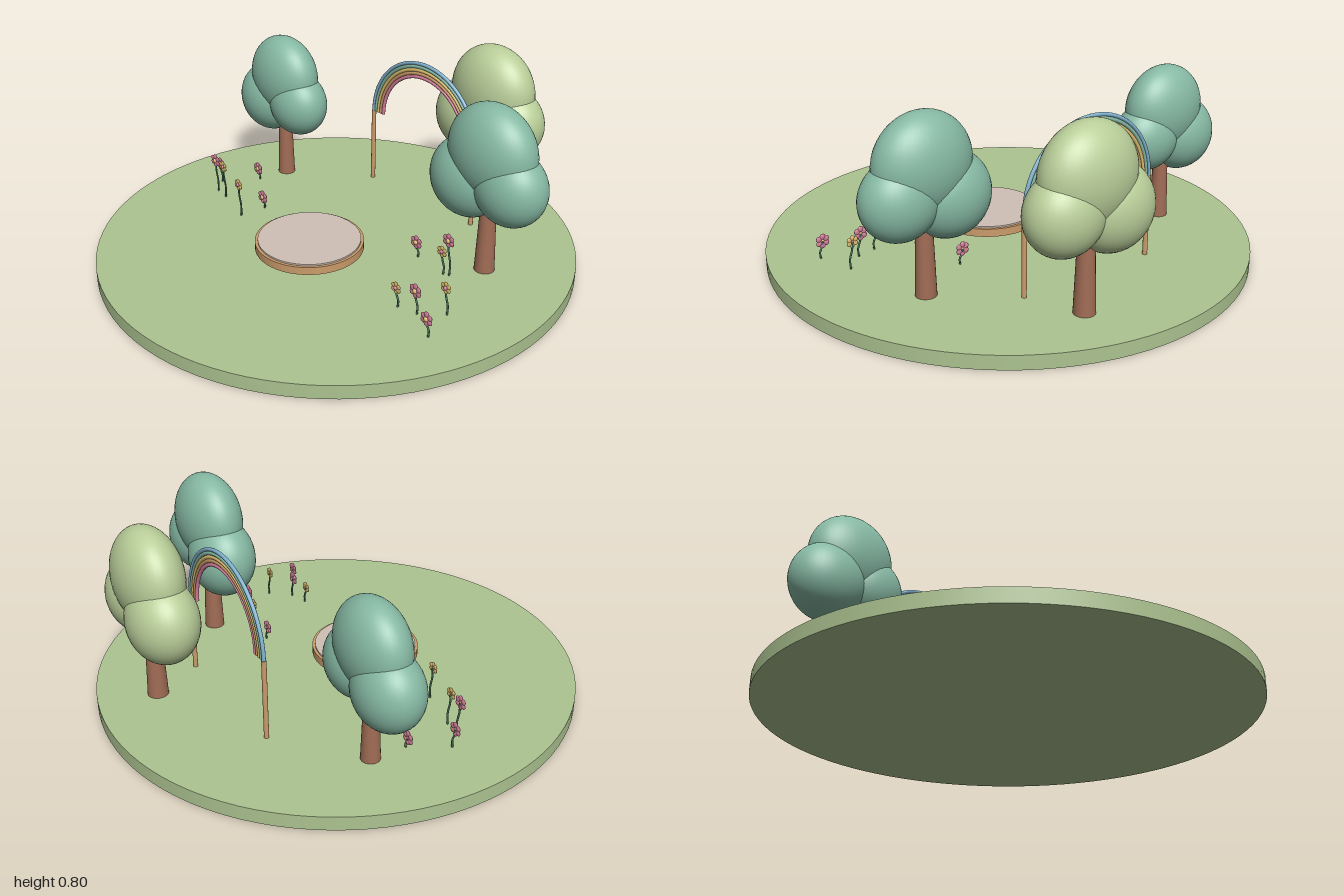
import * as THREE from 'three';

const mat = (name, color) => {
  const m = new THREE.MeshStandardMaterial({ color });
  m.name = name;
  return m;
};

export function createModel() {
  const M = {
    grass: mat('grass green', 0xadc491),
    teal: mat('teal leaf', 0x86b9a4),
    lime: mat('pale leaf', 0xb9ce99),
    bark: mat('bark brown', 0xa06c55),
    wood: mat('light wood', 0xcb9c6b),
    pad: mat('pale stone', 0xcfc0b6),
    blue: mat('sky blue', 0x82b3d0),
    yellow: mat('soft yellow', 0xe0c070),
    pink: mat('rose pink', 0xd9819f),
    stem: mat('stem green', 0x4c7a5e),
  };
  const root = new THREE.Group();
  root.name = 'garden';
  const GROUND = 0.058;

  const add = (parent, name, geo, material, x = 0, y = 0, z = 0) => {
    const mesh = new THREE.Mesh(geo, material);
    mesh.name = name;
    mesh.position.set(x, y, z);
    parent.add(mesh);
    return mesh;
  };
  const group = (name, x = 0, y = 0, z = 0) => {
    const g = new THREE.Group();
    g.name = name;
    g.position.set(x, y, z);
    root.add(g);
    return g;
  };

  // Round lawn
  add(root, 'lawn', new THREE.CylinderGeometry(1, 1, GROUND, 96), M.grass, 0, GROUND / 2, 0);

  // Low round platform: wooden rim with a pale top
  const platform = group('platform', 0, 0, 0.148);
  add(platform, 'platformRim', new THREE.CylinderGeometry(0.226, 0.226, 0.034, 64), M.wood, 0, 0.093, 0);
  add(platform, 'platformTop', new THREE.CylinderGeometry(0.214, 0.214, 0.014, 64), M.pad, 0, 0.11, 0);

  // Rainbow arch on two posts
  const arch = group('rainbowArch', 0, 0, -0.51);
  const springY = 0.4;
  for (const s of [-1, 1]) {
    add(arch, 'archPost', new THREE.CylinderGeometry(0.01, 0.01, springY - GROUND, 16), M.wood,
      s * 0.305, (springY + GROUND) / 2, 0);
  }
  [M.blue, M.teal, M.yellow, M.wood, M.pink].forEach((material, i) => {
    const r = 0.305 - i * 0.0152;
    add(arch, 'rainbowBand', new THREE.TorusGeometry(r, 0.008, 10, 64, Math.PI), material, 0, springY, 0);
    for (const s of [-1, 1]) {
      add(arch, 'bandEnd', new THREE.CircleGeometry(0.008, 10).rotateX(Math.PI / 2), material, s * r, springY, 0);
    }
  });

  // Trees: tapered trunk and three flattened leaf balls [x, y, radius, depth]
  const crown = [
    [0, 0.523, 0.2, 0.13],
    [-0.108, 0.383, 0.17, 0.138],
    [0.1, 0.407, 0.157, 0.128],
  ];
  const tree = (x, z, scale, leaf) => {
    const g = group('tree', x, GROUND, z);
    g.scale.setScalar(scale);
    add(g, 'trunk', new THREE.CylinderGeometry(0.028, 0.042, 0.4, 24), M.bark, 0, 0.2, 0);
    for (const [cx, cy, r, depth] of crown) {
      add(g, 'leafBall', new THREE.SphereGeometry(r, 40, 28), leaf, cx, cy, 0).scale.z = depth / r;
    }
  };
  tree(-0.627, -0.25, 0.93, M.teal);
  tree(0.585, -0.277, 1, M.teal);
  tree(0.2, -0.73, 1.02, M.lime);

  // Flowers: bent stem, six flat petals and a centre, facing forward
  const flower = (x, y, z, petal, centre, size) => {
    const g = group('flower', x, 0, z);
    const h = y - GROUND;
    const path = new THREE.CatmullRomCurve3([
      new THREE.Vector3(0.012, GROUND, 0),
      new THREE.Vector3(0.014, GROUND + h * 0.35, 0),
      new THREE.Vector3(0.003, GROUND + h * 0.7, 0),
      new THREE.Vector3(0, y, -0.003),
    ]);
    add(g, 'stem', new THREE.TubeGeometry(path, 12, 0.004, 8), M.stem);
    for (let i = 0; i < 6; i++) {
      const a = (i / 6) * Math.PI * 2 + Math.PI / 6;
      const p = add(g, 'petal', new THREE.SphereGeometry(0.4 * size, 12, 8), petal,
        Math.cos(a) * 0.6 * size, y + Math.sin(a) * 0.6 * size, 0);
      p.scale.z = 0.4;
    }
    add(g, 'flowerCentre', new THREE.SphereGeometry(0.33 * size, 12, 8), centre, 0, y, 0.004).scale.z = 0.7;
  };
  const pinkFlowers = [
    [-0.75, 0.147, 0.047], [-0.69, 0.207, 0.115], [-0.655, 0.107, -0.1], [-0.42, 0.107, 0.06],
    [0.33, 0.122, -0.145], [0.513, 0.213, -0.135], [0.615, 0.155, 0.155], [0.745, 0.13, 0.23],
  ];
  const yellowFlowers = [
    [-0.62, 0.205, 0.125], [-0.435, 0.205, 0.18], [0.49, 0.157, -0.125],
    [0.533, 0.138, 0.175], [0.695, 0.172, 0.075],
  ];
  for (const [x, y, z] of pinkFlowers) flower(x, y, z, M.pink, M.yellow, 0.031);
  for (const [x, y, z] of yellowFlowers) flower(x, y, z, M.yellow, M.pink, 0.026);

  return root;
}
